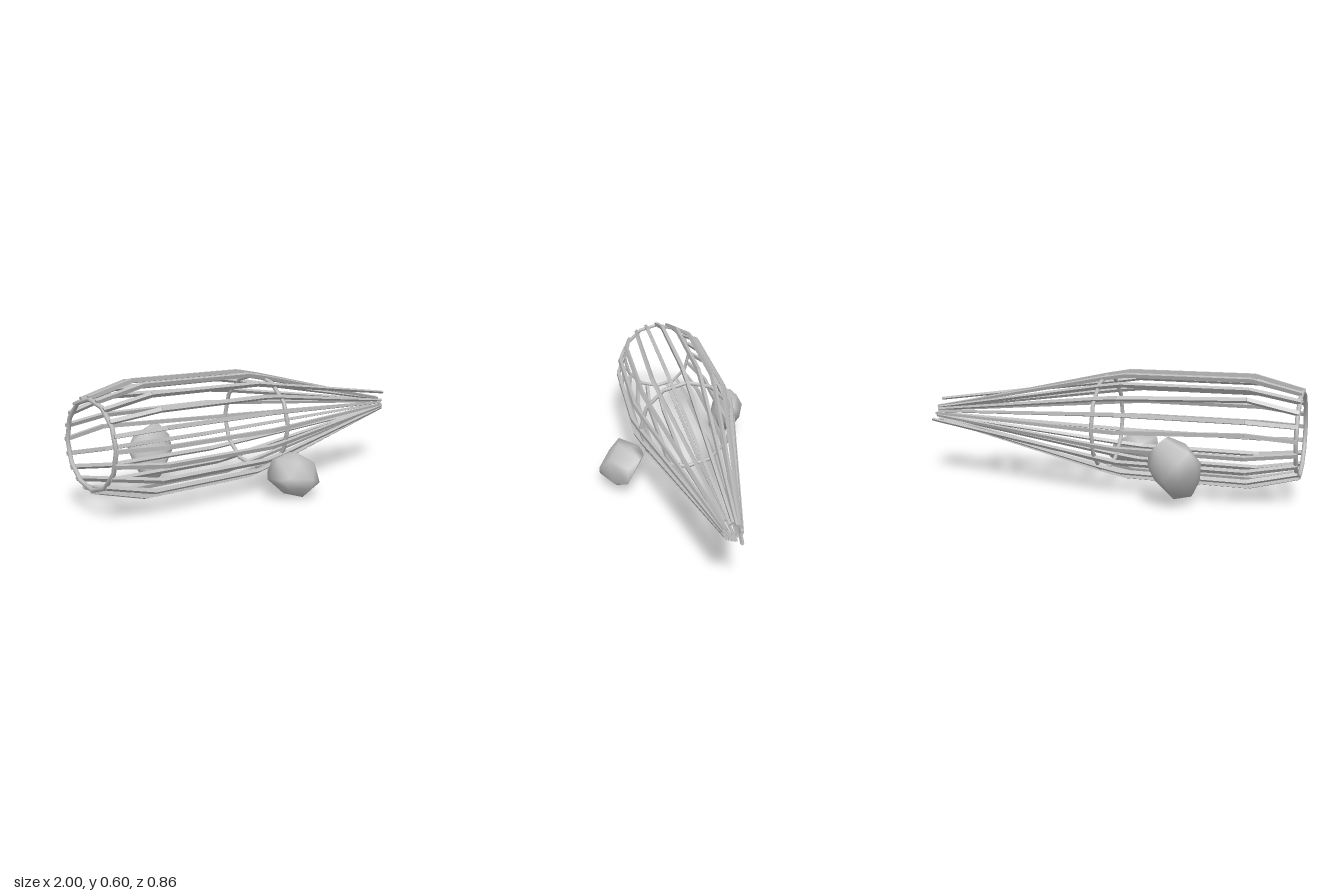
import * as THREE from 'three';
import { ConvexGeometry } from 'three/addons/geometries/ConvexGeometry.js';
import { mergeVertices } from 'three/addons/utils/BufferGeometryUtils.js';

const AXIS_Y = 0.325, AXIS_Z = -0.03, RODS = 20;
// x, distance from the axis, half thickness
const PROFILE = [[-0.99, 0.208, 0.009], [-0.76, 0.268, 0.0095], [-0.14, 0.268, 0.0095], [-0.015, 0.246, 0.009], [0.96, 0.038, 0.006]];

// Tapered square bar from a to b with one pair of sides facing along the tangent
function bar(a, b, ha, hb, tangent, material) {
  const dir = b.clone().sub(a);
  const length = dir.length();
  dir.normalize();
  const geo = new THREE.CylinderGeometry(hb * Math.SQRT2, ha * Math.SQRT2, length, 4, 1, false, Math.PI / 4).toNonIndexed();
  geo.computeVertexNormals();
  const side = new THREE.Vector3().crossVectors(dir, tangent).normalize();
  const across = new THREE.Vector3().crossVectors(side, dir);
  const mesh = new THREE.Mesh(geo, material);
  mesh.quaternion.setFromRotationMatrix(new THREE.Matrix4().makeBasis(side, dir, across));
  mesh.position.copy(a).add(b).multiplyScalar(0.5);
  return mesh;
}

// Rounded stone: hull of a few corners with smooth normals
function stone(name, points, material) {
  let geo = new ConvexGeometry(points.map(p => new THREE.Vector3(...p)));
  geo.deleteAttribute('normal');
  geo = mergeVertices(geo, 1e-4);
  geo.computeVertexNormals();
  const mesh = new THREE.Mesh(geo, material);
  mesh.name = name;
  return mesh;
}

export function createModel() {
  const model = new THREE.Group();
  model.name = 'basketTrap';
  const grey = new THREE.MeshStandardMaterial({ color: 0xbcbcbc });
  grey.name = 'lightGrey';

  // Rods gathered to a narrow neck; a few are slightly crooked
  const crooked = {
    3: { 1: [0, 0.02, 0.012] },
    5: { 1: [0, 0.025, 0] },
    7: { 4: [0.04, -0.015, 0] },
    18: { 1: [0, 0, -0.012], 4: [0.01, 0.04, 0.015] },
  };
  for (let i = 0; i < RODS; i++) {
    const a = (i / RODS) * Math.PI * 2;
    const tangent = new THREE.Vector3(0, -Math.sin(a), -Math.cos(a));
    const rod = new THREE.Group();
    rod.name = 'rod' + (i + 1);
    const pts = PROFILE.map(([x, r], k) => {
      const p = new THREE.Vector3(x + (k === 4 ? 0.006 * ((i * 3) % 4 - 1) : 0),
        AXIS_Y + r * Math.cos(a), AXIS_Z - r * Math.sin(a));
      const shift = crooked[i]?.[k];
      return shift ? p.add(new THREE.Vector3(...shift)) : p;
    });
    for (let k = 0; k < pts.length - 1; k++) {
      rod.add(bar(pts[k], pts[k + 1], PROFILE[k][2], PROFILE[k + 1][2], tangent, grey));
    }
    model.add(rod);
  }

  // Twelve-sided binding hoops
  for (const [name, x, r] of [['mouthHoop', -0.985, 0.203], ['middleHoop', -0.015, 0.243]]) {
    const hoop = new THREE.Mesh(new THREE.TorusGeometry(r, 0.0105, 8, 12), grey);
    hoop.name = name;
    hoop.rotation.y = Math.PI / 2;
    hoop.position.set(x, AXIS_Y, AXIS_Z);
    model.add(hoop);
  }

  // Weight stones beside the basket
  model.add(stone('frontStone', [
    [-0.21, 0.1, 0.27], [-0.18, 0.2, 0.31], [-0.07, 0.22, 0.325], [-0.05, 0.21, 0.26], [0.04, 0.175, 0.23],
    [-0.01, 0.18, 0.2], [-0.12, 0.175, 0.21], [-0.17, 0.13, 0.23], [-0.02, 0.13, 0.22], [0.09, 0.07, 0.3],
    [0.06, 0.14, 0.29], [0.05, 0.06, 0.37], [-0.05, 0, 0.33], [-0.08, 0.01, 0.38], [-0.15, 0.03, 0.32],
    [0.02, 0.03, 0.3], [-0.1, 0.05, 0.27], [-0.07, 0.06, 0.43], [-0.06, 0.1, 0.43], [-0.16, 0.11, 0.37],
    [0, 0.17, 0.38], [-0.1, 0.18, 0.37], [-0.19, 0.1, 0.34], [0.03, 0.035, 0.35], [-0.16, 0.06, 0.37],
  ], grey));
  model.add(stone('backStone', [
    [-0.42, 0.33, -0.33], [-0.41, 0.325, -0.36], [-0.38, 0.3, -0.39], [-0.5, 0.3, -0.32], [-0.41, 0.225, -0.43],
    [-0.49, 0.22, -0.425], [-0.42, 0.14, -0.42], [-0.5, 0.14, -0.41], [-0.335, 0.25, -0.36], [-0.33, 0.19, -0.36],
    [-0.36, 0.2, -0.4], [-0.37, 0.12, -0.33], [-0.45, 0.07, -0.38], [-0.45, 0.035, -0.33], [-0.53, 0.05, -0.31],
    [-0.46, 0.06, -0.26], [-0.45, 0.09, -0.245], [-0.53, 0.1, -0.265], [-0.43, 0.15, -0.25], [-0.42, 0.26, -0.285],
    [-0.51, 0.25, -0.29], [-0.57, 0.13, -0.32], [-0.578, 0.22, -0.34], [-0.57, 0.2, -0.38], [-0.36, 0.26, -0.31],
    [-0.35, 0.18, -0.3], [-0.37, 0.13, -0.38], [-0.53, 0.27, -0.38],
  ], grey));
  return model;
}
